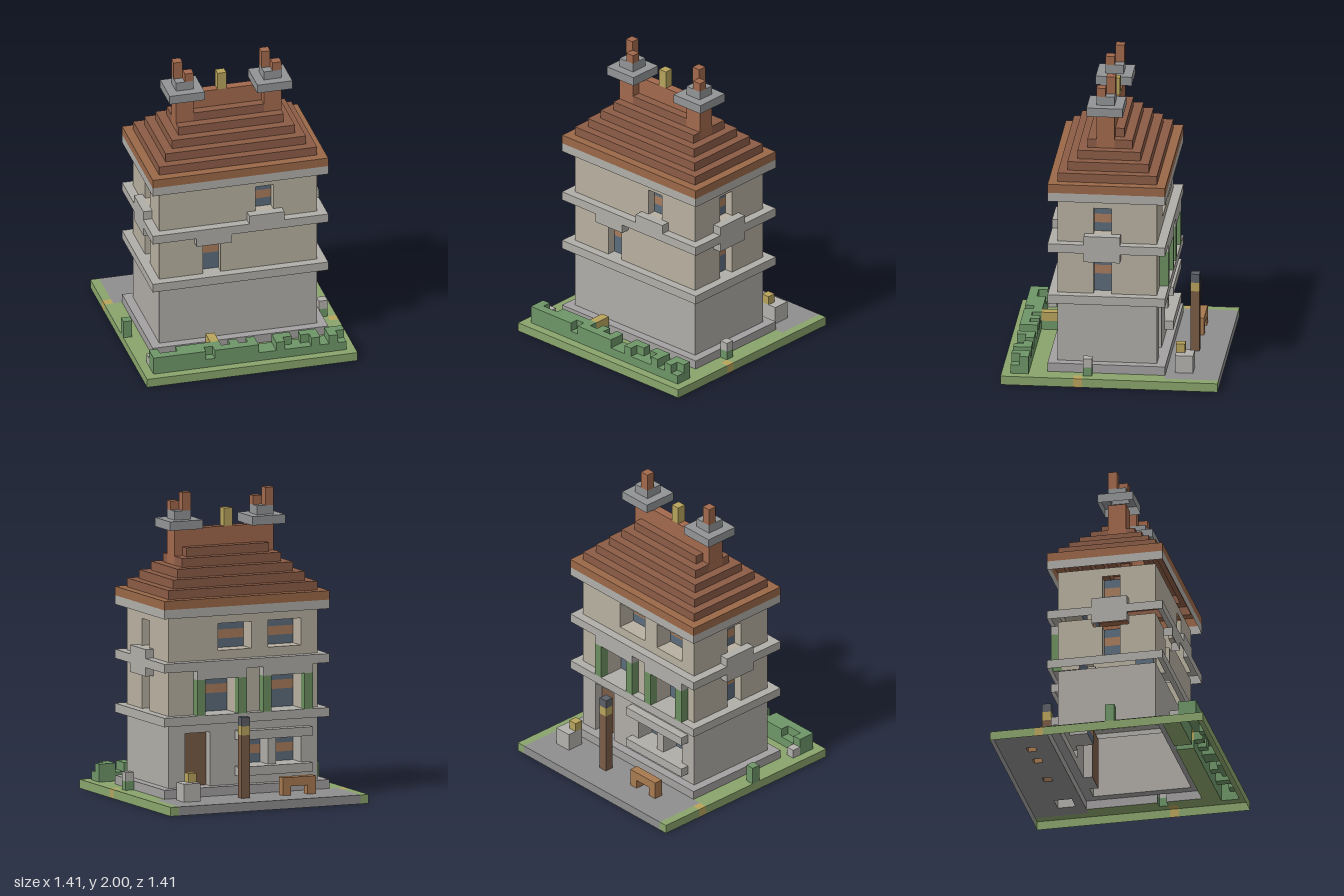
import * as THREE from 'three';

const U = 1 / 17; // edge of one block
const COLORS = {
  lawn: 0x8aa56c, path: 0x8e8e8e, plinth: 0xa3a1a0, lowerWall: 0xb0ada8, upperWall: 0xb8b0a0,
  ledges: 0xb0aea9, roof: 0x8c5c46, eaves: 0x9a6848, chimneys: 0xa2694c, chimneyCaps: 0x929496,
  glass: 0x5c6c7c, curtains: 0xa87c5c, shutters: 0x6c9060, door: 0x7a5c46, hedge: 0x6e9668,
  flowers: 0xb8a45c, stones: 0xb4b2ae, bench: 0xa87a50, lampPost: 0x7a5c46, lampTop: 0x5c6068,
};

// Block grid: each cell holds the name of its part
const cells = new Map();
const key = (x, y, z) => `${x},${y},${z}`;
function fill(part, x0, x1, y0, y1, z0, z1) {
  for (let x = x0; x < x1; x++)
    for (let y = y0; y < y1; y++)
      for (let z = z0; z < z1; z++)
        if (part) cells.set(key(x, y, z), part);
        else cells.delete(key(x, y, z));
}

// Window pane with a curtain stripe
function pane(x0, x1, y0, y1, z0, z1, stripe) {
  fill('glass', x0, x1, y0, y1, z0, z1);
  fill('curtains', x0, x1, stripe, stripe + 1, z0, z1);
}

// Opening in the back wall, two blocks deep
function backWindow(x0, x1, y0, y1, stripe) {
  fill(null, x0, x1, y0, y1, -5, -3);
  pane(x0, x1, y0, y1, -3, -2, stripe);
}

function ground() {
  fill('lawn', -12, 12, 0, 1, -12, 12);
  fill('path', -11, 11, 0, 1, -12, -6);
  fill('flowers', -12, -11, 0, 1, -7, -6);
  fill('flowers', 11, 12, 0, 1, 3, 4);
}

function house() {
  fill('plinth', -10, 10, 1, 2, -6, 7);
  fill('lowerWall', -9, 9, 2, 9, -5, 6);
  fill('upperWall', -9, 9, 9, 21, -5, 6);
  // Ledges around the storeys and the cornice
  for (const y of [9, 15, 21]) fill('ledges', -10, 10, y, y + 1, -6, 7);
  fill('ledges', -5, -1, 14, 15, 6, 7);
  fill('ledges', 1, 5, 16, 17, 6, 7);
  // Front windows
  for (const [x, y0, y1, stripe] of [[-4, 10, 14, 12], [2, 17, 20, 18]]) {
    fill(null, x, x + 2, y0, y1, 5, 6);
    pane(x, x + 2, y0, y1, 4, 5, stripe);
  }
  // Side windows, with a stone panel between them
  for (const s of [-1, 1]) {
    const outer = s > 0 ? 8 : -9, inner = outer - s, panel = outer + s;
    fill('ledges', panel, panel + 1, 14, 17, -1, 3);
    for (const [y0, y1, stripe] of [[10, 14, 12], [17, 20, 18]]) {
      fill(null, outer, outer + 1, y0, y1, 0, 2);
      pane(inner, inner + 1, y0, y1, 0, 2, stripe);
    }
  }
  // Back windows with shutters and lintels
  for (const x of [1, -7]) {
    backWindow(x, x + 4, 10, 14, 12);
    fill('ledges', x - 1, x + 5, 14, 15, -6, -5);
    for (const side of [x - 1, x + 4]) fill('shutters', side, side + 1, 10, 14, -6, -5);
  }
  for (const x of [-1, -7]) backWindow(x, x + 4, 17, 20, 18);
  // Shop front and door
  for (const x of [-7, -3]) backWindow(x, x + 3, 4, 7, 5);
  for (const y of [3, 7]) fill('ledges', -8, 1, y, y + 1, -6, -5);
  fill(null, 4, 7, 2, 8, -5, -4);
  fill('door', 4, 7, 2, 8, -4, -3);
}

function roof() {
  for (let i = 0; i < 6; i++)
    fill(i ? 'roof' : 'eaves', i - 10, 10 - i, 22 + i, 23 + i, i - 6, 7 - i);
  fill('chimneys', -4, 4, 28, 30, 0, 1); // ridge
  fill('flowers', -1, 0, 30, 32, 0, 1); // finial
  for (const x of [-6, 4]) {
    fill('chimneys', x, x + 2, 26, 30, 0, 2);
    fill('chimneyCaps', x - 1, x + 3, 30, 31, -1, 3);
    fill('chimneyCaps', x, x + 2, 31, 32, 0, 2);
    fill('chimneys', x, x + 1, 32, 34, 0, 1);
    fill('chimneys', x + 1, x + 2, 32, 33, 1, 2);
  }
}

function garden() {
  // Hedge with notches in its top
  fill('hedge', -11, 11, 1, 2, 9, 11);
  for (const [x0, x1] of [[-11, 1], [3, 5], [7, 8], [9, 11]]) fill('hedge', x0, x1, 2, 3, 9, 11);
  for (const [x0, x1, z] of [[-10, -8, 9], [-3, -2, 9], [-1, 0, 9], [-5, -4, 10], [4, 5, 10], [10, 11, 10]])
    fill(null, x0, x1, 2, 3, z, z + 1);
  fill('hedge', 6, 7, 2, 3, 9, 10);
  // Small plants and stones
  fill('hedge', -4, -3, 1, 2, 7, 9);
  fill('flowers', -4, -3, 2, 3, 7, 9);
  fill('hedge', -12, -11, 1, 3, 1, 2);
  fill('hedge', 10, 11, 1, 2, 2, 3);
  fill('stones', 10, 11, 2, 3, 2, 3);
  fill('stones', -11, -10, 1, 2, 8, 9);
  // Planter, lamp and bench on the path
  fill('stones', 7, 9, 1, 3, -9, -7);
  fill('flowers', 7, 8, 3, 4, -8, -7);
  fill('lampPost', 1, 2, 1, 8, -9, -8);
  fill('flowers', 1, 2, 8, 9, -9, -8);
  fill('lampTop', 1, 2, 9, 10, -9, -8);
  fill('bench', -7, -3, 2, 3, -9, -8);
  for (const x of [-7, -4]) fill('bench', x, x + 1, 1, 2, -9, -8);
}

// Outward faces as normal, u and v with u x v = normal; undersides stay open
const SIDES = [
  [[1, 0, 0], [0, 1, 0], [0, 0, 1]],
  [[-1, 0, 0], [0, 0, 1], [0, 1, 0]],
  [[0, 1, 0], [0, 0, 1], [1, 0, 0]],
  [[0, 0, 1], [1, 0, 0], [0, 1, 0]],
  [[0, 0, -1], [0, 1, 0], [1, 0, 0]],
];

function partMesh(part) {
  const pos = [], nor = [];
  for (const [k, name] of cells) {
    if (name !== part) continue;
    const c = k.split(',').map(Number);
    for (const [n, u, v] of SIDES) {
      if (cells.has(key(c[0] + n[0], c[1] + n[1], c[2] + n[2]))) continue;
      for (const [a, b] of [[0, 0], [1, 0], [1, 1], [0, 0], [1, 1], [0, 1]]) {
        for (let i = 0; i < 3; i++) pos.push((c[i] + Math.max(n[i], 0) + a * u[i] + b * v[i]) * U);
        nor.push(...n);
      }
    }
  }
  const geometry = new THREE.BufferGeometry();
  geometry.setAttribute('position', new THREE.Float32BufferAttribute(pos, 3));
  geometry.setAttribute('normal', new THREE.Float32BufferAttribute(nor, 3));
  const mesh = new THREE.Mesh(geometry, new THREE.MeshStandardMaterial({ color: COLORS[part], side: THREE.DoubleSide }));
  mesh.name = part;
  return mesh;
}

export function createModel() {
  cells.clear();
  ground();
  house();
  roof();
  garden();
  const model = new THREE.Group();
  model.name = 'townHouse';
  for (const part of Object.keys(COLORS)) model.add(partMesh(part));
  return model;
}
